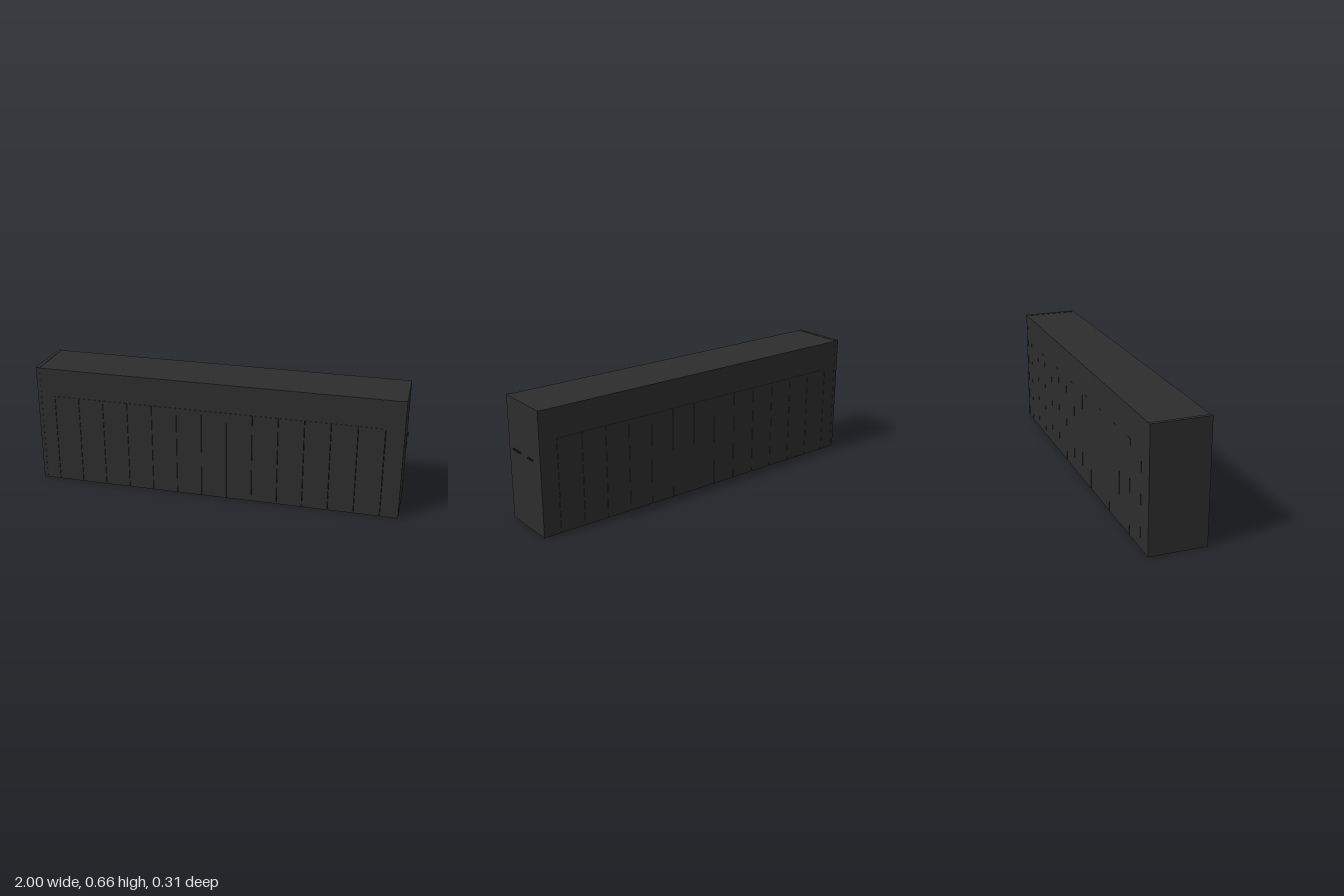
import * as THREE from 'three';

const END = 0.99;         // +x face of the body
const HALF_DEPTH = 0.153;
const TOP = 0.66;
const LID_BOTTOM = 0.5015;
const PLATE = 0.02;       // end plate thickness
const SLIT = 0.002;       // gap between neighbouring cells
const WALL = 0.004;

export function createModel() {
  const group = new THREE.Group();
  const charcoal = new THREE.MeshStandardMaterial({ color: 0x2d2d2d });
  charcoal.name = 'charcoal';

  function add(name, geometry, x, y, z) {
    const mesh = new THREE.Mesh(geometry, charcoal);
    mesh.name = name;
    mesh.position.set(x, y, z);
    group.add(mesh);
    return mesh;
  }

  // Vertical rectangular sleeve, open at the bottom
  function sleeve(x0, x1, height) {
    const d = HALF_DEPTH - 0.0015;
    const rect = (Type, inset) => {
      const p = new Type();
      p.moveTo(x0 + inset, -d + inset);
      p.lineTo(x1 - inset, -d + inset);
      p.lineTo(x1 - inset, d - inset);
      p.lineTo(x0 + inset, d - inset);
      p.closePath();
      return p;
    };
    const shape = rect(THREE.Shape, 0);
    shape.holes.push(rect(THREE.Path, WALL));
    const geometry = new THREE.ExtrudeGeometry(shape, { depth: height, bevelEnabled: false });
    geometry.rotateX(-Math.PI / 2);
    return geometry;
  }

  // End plates, a hair larger than the body
  const plate = new THREE.BoxGeometry(PLATE, TOP, HALF_DEPTH * 2);
  add('leftEndPlate', plate, END - PLATE / 2, TOP / 2, 0);
  add('rightEndPlate', plate, -1 + PLATE / 2, TOP / 2, 0);

  // Solid lid above the cells
  const lidTop = TOP - 0.002;
  const lidLength = END + 1 - PLATE * 2;
  add('lid', new THREE.BoxGeometry(lidLength, lidTop - LID_BOTTOM, HALF_DEPTH * 2 - 0.001),
    (END - 1) / 2, (lidTop + LID_BOTTOM) / 2, 0);

  // Row of open-bottomed cells separated by narrow slits
  const cuts = [-1 + PLATE - SLIT / 2];
  for (let i = 0; i < 14; i++) cuts.push(-0.902 + i * 0.1381);
  cuts.push(END - PLATE + SLIT / 2);
  for (let i = 0; i < cuts.length - 1; i++) {
    const isEnd = i === 0 || i === cuts.length - 2;
    add('cell' + (i + 1),
      sleeve(cuts[i] + SLIT / 2, cuts[i + 1] - SLIT / 2, isEnd ? LID_BOTTOM : 0.5), 0, 0, 0);
  }

  // Two groups of small raised studs on the left end
  const stud = new THREE.CylinderGeometry(0.004, 0.004, 0.01, 10);
  stud.rotateZ(-Math.PI / 2);
  for (const z of [0.1, 0.08, 0.06, 0.04, -0.045, -0.065, -0.085]) {
    add('endStud', stud, END + 0.005, 0.39, z);
  }

  return group;
}
